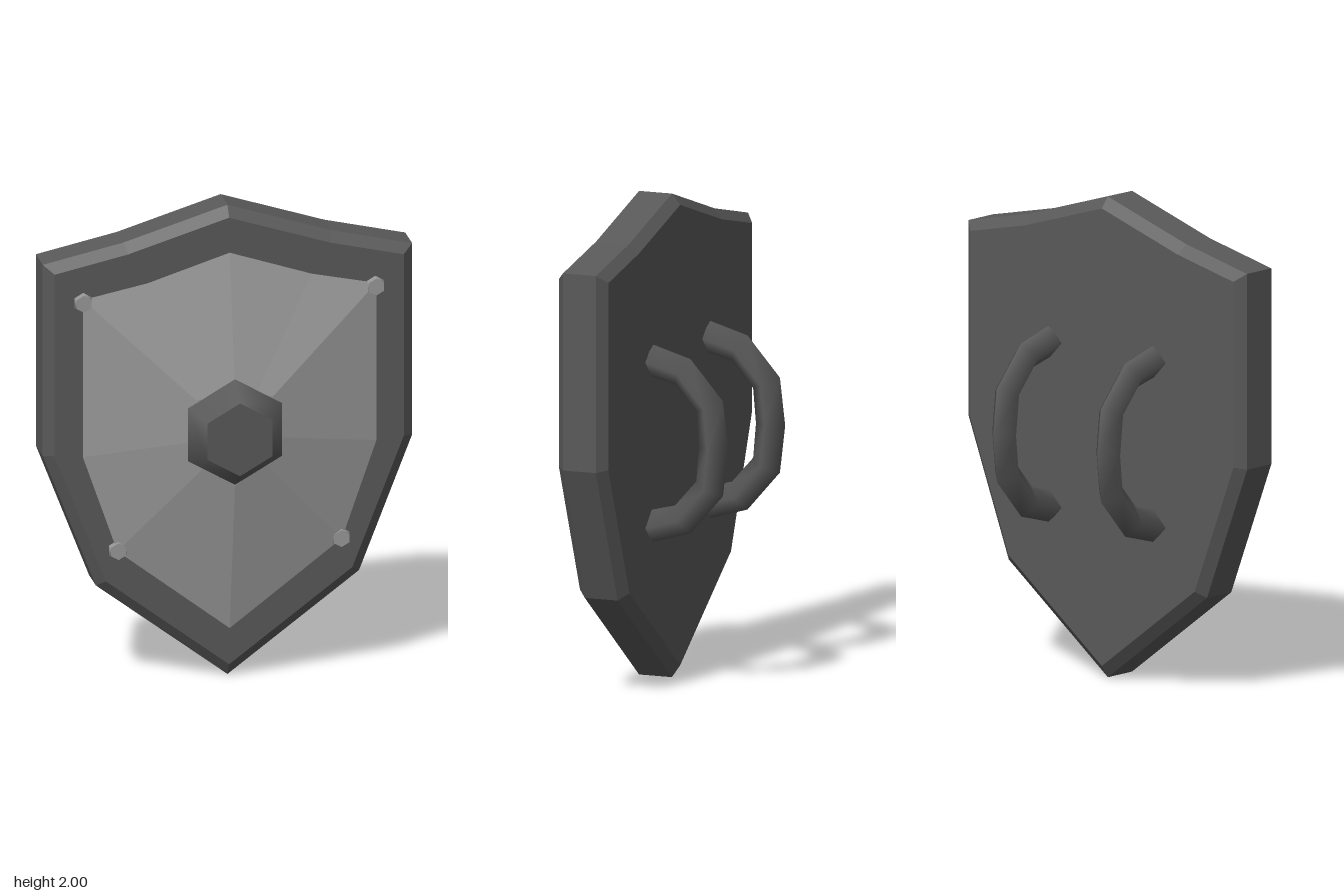
import * as THREE from 'three';

const darkSteel = new THREE.MeshStandardMaterial({ color: 0x595959 });
darkSteel.name = 'dark steel';
const paleSteel = new THREE.MeshStandardMaterial({ color: 0x989898, side: THREE.DoubleSide });
paleSteel.name = 'pale steel';
const boltSteel = new THREE.MeshStandardMaterial({ color: 0x989898 });
boltSteel.name = 'bolt steel';

// Completes a right-hand half outline (top to bottom) into a full counter-clockwise loop
function mirrorOutline(half) {
  const left = half.map(([x, y]) => new THREE.Vector2(-x, y));
  const right = half.slice(1, -1).reverse().map(([x, y]) => new THREE.Vector2(x, y));
  return [...left, ...right];
}

function addMesh(parent, name, geometry, material) {
  const mesh = new THREE.Mesh(geometry, material);
  mesh.name = name;
  parent.add(mesh);
  return mesh;
}

// Six-sided stud whose axis points forward, with a corner at the top
function hexStud(frontRadius, backRadius, depth) {
  return new THREE.CylinderGeometry(frontRadius, backRadius, depth, 6).rotateX(Math.PI / 2);
}

// Faceted dome rising from an outline to a smaller copy of it, closed by a flat cap
function domeGeometry(outline, centre, scale, zEdge, zTop) {
  const n = outline.length;
  const positions = [];
  const inner = outline.map((p) => p.clone().sub(centre).multiplyScalar(scale).add(centre));
  for (let i = 0; i < n; i++) {
    const j = (i + 1) % n;
    const a = [outline[i].x, outline[i].y, zEdge];
    const b = [outline[j].x, outline[j].y, zEdge];
    const c = [inner[j].x, inner[j].y, zTop];
    const d = [inner[i].x, inner[i].y, zTop];
    positions.push(...a, ...b, ...c, ...a, ...c, ...d, ...d, ...c, centre.x, centre.y, zTop);
  }
  const geometry = new THREE.BufferGeometry();
  geometry.setAttribute('position', new THREE.Float32BufferAttribute(positions, 3));
  geometry.computeVertexNormals();
  return geometry;
}

export function createModel() {
  const shield = new THREE.Group();
  shield.name = 'shield';

  // Thick body with chamfered rims
  const bodyOutline = mirrorOutline([
    [0, 2], [0.43, 1.865], [0.765, 1.79], [0.765, 0.975], [0.545, 0.41], [0, 0],
  ]);
  const body = new THREE.ExtrudeGeometry(new THREE.Shape(bodyOutline), {
    depth: 0.146, bevelEnabled: true, bevelSegments: 1,
    bevelThickness: 0.037, bevelSize: 0.042, bevelOffset: -0.042,
  });
  body.translate(0, 0, -0.018);
  addMesh(shield, 'body', body, darkSteel);

  // Raised plate on the front
  const plateOutline = mirrorOutline([
    [0, 1.81], [0.34, 1.7], [0.608, 1.645], [0.608, 0.975], [0.465, 0.565], [0, 0.21],
  ]);
  const centre = new THREE.Vector2(0, 1.075);
  addMesh(shield, 'frontPlate', domeGeometry(plateOutline, centre, 0.26, 0.175, 0.288), paleSteel);

  // Central boss
  addMesh(shield, 'boss', hexStud(0.155, 0.225, 0.108), darkSteel).position.set(0, 1.08, 0.341);

  for (const side of [-1, 1]) {
    const label = side > 0 ? 'left' : 'right';

    // Corner bolts
    for (const [level, x, y] of [['Upper', 0.605, 1.63], ['Lower', 0.462, 0.567]]) {
      addMesh(shield, `${label}${level}Bolt`, hexStud(0.036, 0.043, 0.025), boltSteel)
        .position.set(side * x, y, 0.174);
    }

    // Rear grip: a four-sided bar with one ring at each path point
    const path = new THREE.CatmullRomCurve3([
      [1.365, -0.045], [1.325, -0.193], [1.19, -0.312], [1.02, -0.33],
      [0.85, -0.312], [0.715, -0.193], [0.675, -0.045],
    ].map(([y, z]) => new THREE.Vector3(side * 0.286, y, z)));
    path.getPointAt = path.getPoint;
    path.getTangentAt = path.getTangent;
    addMesh(shield, `${label}Grip`, new THREE.TubeGeometry(path, 6, 0.065, 4, false), darkSteel);
  }

  return shield;
}
